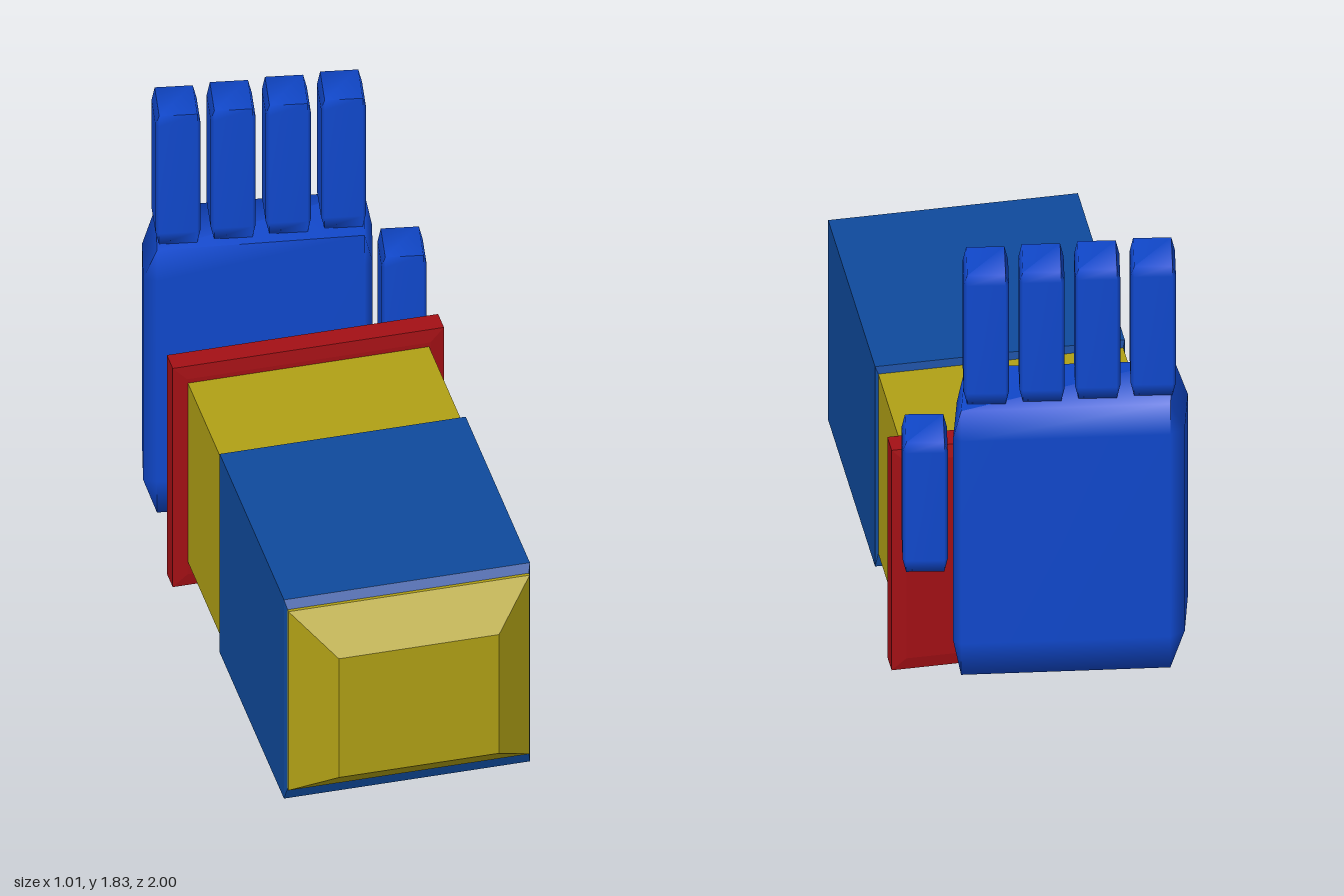
import * as THREE from 'three';

const BLUE = 0x0f4a9c, HAND = 0x1048cc, YELLOW = 0xb0a015, RED = 0xa31015;

// Skin a stack of closed rings (each counter-clockwise seen from the stack's far end) and cap both ends.
function loft(rings) {
  const n = rings[0].length, last = (rings.length - 1) * n, index = [];
  for (let r = 0; r < rings.length - 1; r++) {
    for (let i = 0; i < n; i++) {
      const a = r * n + i, b = r * n + (i + 1) % n;
      index.push(a, b, b + n, a, b + n, a + n);
    }
  }
  for (let i = 1; i < n - 1; i++) index.push(0, i + 1, i, last, last + i, last + i + 1);
  const geometry = new THREE.BufferGeometry();
  geometry.setAttribute('position', new THREE.Float32BufferAttribute(rings.flat(2), 3));
  geometry.setIndex(index);
  geometry.computeVertexNormals();
  return geometry;
}

function part(name, geometry, color, flatShading) {
  const mesh = new THREE.Mesh(geometry, new THREE.MeshStandardMaterial({ color, flatShading }));
  mesh.name = name;
  return mesh;
}

// Rectangular ring across z: x0, x1, y0, y1 at depth z, optionally inset.
const rect = ([x0, x1, y0, y1], z, inset = 0) => [
  [x0 + inset, y0 + inset, z], [x1 - inset, y0 + inset, z],
  [x1 - inset, y1 - inset, z], [x0 + inset, y1 - inset, z],
];

// Upright block whose edges are bevelled outward between its two end caps.
// cap holds four corners, side gives the bulged pair beside each end: order front-left, front-right, back-right, back-left.
function bevelledBlock(cap, side, y0, y1, bevel) {
  const ring = (bulge, y) => {
    const [A, D, C, B] = cap, [A2, D2, C2, B2] = bulge;
    return [A, D, D2, C2, C, B, B2, A2].map(([x, z]) => [x, y, z]);
  };
  return loft([ring(cap, y0), ring(side, y0 + bevel), ring(side, y1 - bevel), ring(cap, y1)]);
}

export function createModel() {
  const model = new THREE.Group();
  model.name = 'roboticArm';

  // Forearm: stacked square sections along z
  const inner = [-0.413, 0.445, 0.103, 0.863];
  const outer = [-0.42, 0.455, 0.045, 0.89];
  const tip = [-0.27, 0.30, 0.23, 0.735];
  const plate = [-0.465, 0.5, 0, 0.93];
  const forearm = new THREE.Group();
  forearm.name = 'forearm';
  forearm.add(
    part('elbowCap', loft([rect(inner, 0.83), rect(inner, 0.86), rect(tip, 1)]), YELLOW, true),
    part('forearmSleeve', loft([
      rect(inner, -0.068), rect(outer, -0.06), rect(outer, 0.825), rect(inner, 0.848),
    ]), BLUE, true),
    part('wristBlock', loft([rect(inner, -0.54), rect(inner, -0.06)]), YELLOW, true),
    part('wristPlate', loft([
      rect(plate, -0.623, 0.05), rect(plate, -0.614), rect(plate, -0.533), rect(plate, -0.526, 0.05),
    ]), RED, true),
  );
  model.add(forearm);

  // Palm: slanted slab with bevelled narrow sides
  const hand = new THREE.Group();
  hand.name = 'hand';
  hand.add(part('palm', bevelledBlock(
    [[-0.465, -0.75], [0.25, -0.657], [0.312, -0.912], [-0.405, -1]],
    [[-0.508, -0.775], [0.283, -0.675], [0.335, -0.885], [-0.46, -0.975]],
    0.165, 1.28, 0.13), HAND, false));

  // Four fingers and a thumb share one shape
  const w = 0.078, c = 0.066, d = 0.085;
  const fingerShape = bevelledBlock(
    [[-c, d], [c, d], [c, -d], [-c, -d]],
    [[-w, d - 0.012], [w, d - 0.012], [w, 0.012 - d], [-w, 0.012 - d]],
    0, 0.545, 0.045);
  const addFinger = (name, x, y, z) => {
    const finger = part(name, fingerShape, HAND, false);
    finger.position.set(x, y, z);
    finger.rotation.y = -0.16;
    hand.add(finger);
  };
  for (let i = 0; i < 4; i++) addFinger('finger' + (i + 1), -0.37 + i * 0.1917, 1.28, -0.856 + i * 0.0175);
  addFinger('thumb', 0.416, 0.587, -0.785);
  model.add(hand);

  return model;
}
